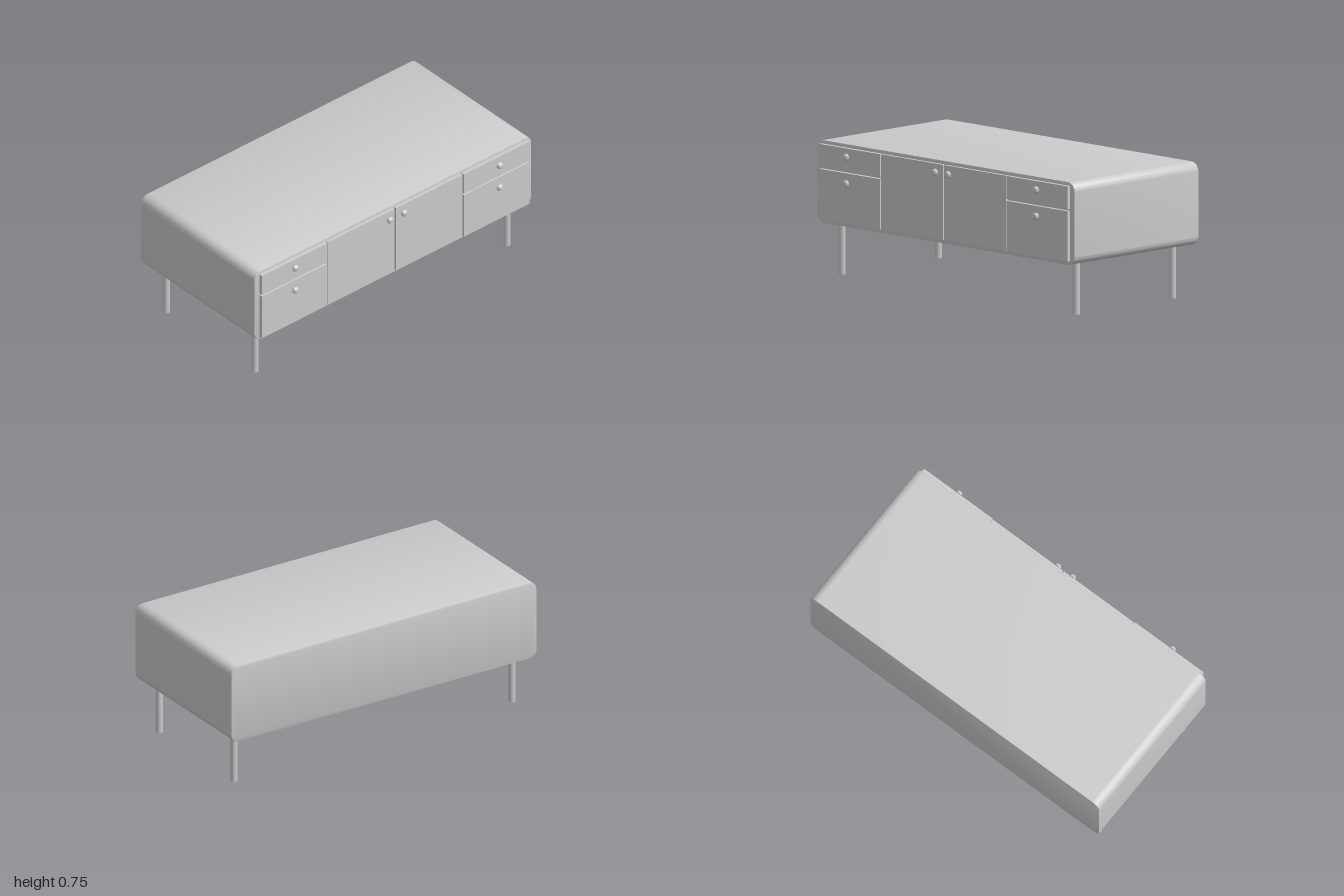
import * as THREE from 'three';
import { toCreasedNormals } from 'three/addons/utils/BufferGeometryUtils.js';

const material = new THREE.MeshStandardMaterial({ color: 0xcccccc });

function add(parent, name, geometry, x = 0, y = 0, z = 0) {
  const mesh = new THREE.Mesh(geometry, material);
  mesh.name = name;
  mesh.position.set(x, y, z);
  parent.add(mesh);
  return mesh;
}

// Rounded rectangle centred on the origin
function roundedRect(w, h, r) {
  const x = w / 2 - r, y = h / 2 - r;
  const s = new THREE.Shape();
  s.absarc(x, y, r, 0, Math.PI / 2);
  s.absarc(-x, y, r, Math.PI / 2, Math.PI);
  s.absarc(-x, -y, r, Math.PI, Math.PI * 1.5);
  s.absarc(x, -y, r, Math.PI * 1.5, Math.PI * 2);
  s.closePath();
  return s;
}

// Front panel given by its z and y range, standing on the cabinet's +x face
const FACE = 0.449;
function panel(parent, name, z0, z1, y0, y1, thickness) {
  add(parent, name, new THREE.BoxGeometry(thickness, y1 - y0, z1 - z0),
    FACE + thickness / 2, (y0 + y1) / 2, (z0 + z1) / 2);
}

export function createModel() {
  const model = new THREE.Group();
  model.name = 'sideboard';

  // Cabinet: rounded profile extruded along x with a fine bevel
  const bevel = 0.005, depth = 0.954;
  const body = new THREE.ExtrudeGeometry(roundedRect(2 - 2 * bevel, 0.46 - 2 * bevel, 0.047), {
    depth: depth - 2 * bevel, curveSegments: 6,
    bevelEnabled: true, bevelThickness: bevel, bevelSize: bevel, bevelSegments: 2,
  });
  body.translate(0, 0, bevel).rotateY(Math.PI / 2);
  add(model, 'cabinet', toCreasedNormals(body, 0.6), FACE - depth, 0.52, 0);

  // Knob: thin stem and domed head, turned to point along +x
  const profile = [[0.008, 0], [0.008, 0.011], [0.018, 0.011], [0.02, 0.014],
    [0.0185, 0.021], [0.0145, 0.027], [0.008, 0.031], [0, 0.0325]];
  const knob = new THREE.LatheGeometry(profile.map(([r, y]) => new THREE.Vector2(r, y)), 16);
  knob.rotateZ(-Math.PI / 2);
  const knobGeometry = toCreasedNormals(knob, 0.7);

  // Doors, drawers, knobs and legs, mirrored across z
  for (const side of [1, -1]) {
    const label = side > 0 ? 'right' : 'left';
    const range = (a, b) => (side > 0 ? [a, b] : [-b, -a]);
    panel(model, label + 'Door', ...range(0.005, 0.486), 0.313, 0.73, 0.018);
    panel(model, label + 'TopDrawer', ...range(0.492, 0.966), 0.602, 0.73, 0.022);
    panel(model, label + 'BottomDrawer', ...range(0.492, 0.966), 0.313, 0.592, 0.022);

    add(model, label + 'DoorKnob', knobGeometry, FACE + 0.018, 0.685, side * 0.051);
    add(model, label + 'TopDrawerKnob', knobGeometry, FACE + 0.022, 0.685, side * 0.738);
    add(model, label + 'BottomDrawerKnob', knobGeometry, FACE + 0.022, 0.538, side * 0.738);

    const leg = new THREE.CylinderGeometry(0.02, 0.02, 0.295, 12);
    add(model, label + 'BackLeg', leg, -0.394, 0.1475, side * 0.91);
    add(model, label + 'FrontLeg', leg, 0.347, 0.1475, side * 0.91);
  }
  return model;
}
